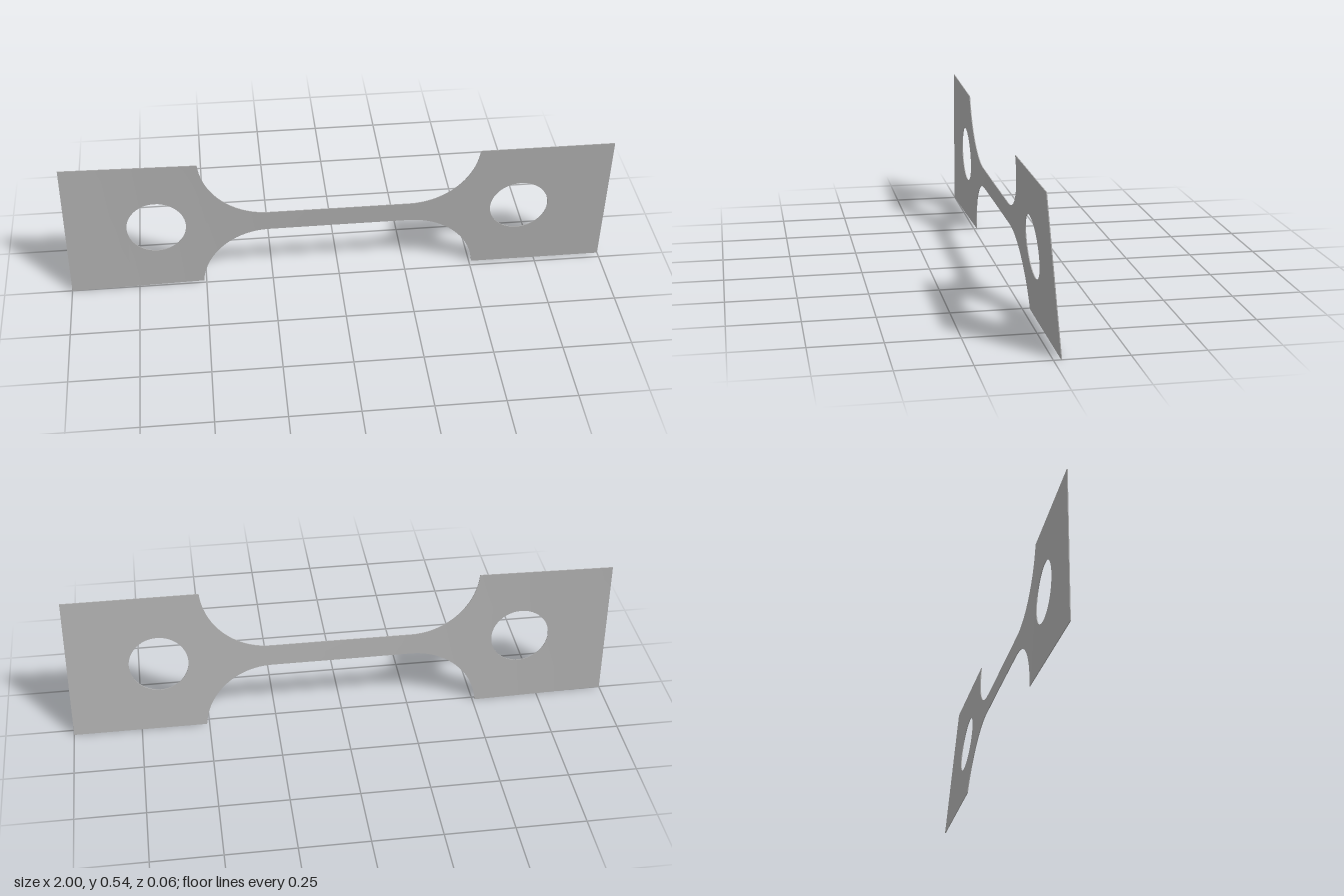
import * as THREE from 'three';
import { toCreasedNormals } from 'three/addons/utils/BufferGeometryUtils.js';

const MID = 0.271, NECK = 0.04, THICK = 0.003;
const FILLET_X = 0.26, FILLET_R = 0.25, HOLE_X = 0.67, HOLE_R = 0.108;
const SHOULDER = FILLET_X + Math.sqrt(FILLET_R ** 2 - (NECK + FILLET_R - MID) ** 2);

// Half height of the outline: narrow neck, round fillets, wide tabs
function halfHeight(x) {
  const a = Math.abs(x);
  if (a <= FILLET_X) return NECK;
  if (a >= SHOULDER - 1e-6) return MID;
  return NECK + FILLET_R - Math.sqrt(FILLET_R ** 2 - (a - FILLET_X) ** 2);
}

// Half height of the round hole in each tab
function holeHeight(x) {
  const d = Math.abs(x) - HOLE_X;
  return Math.sqrt(Math.max(0, HOLE_R ** 2 - d * d));
}

// Gentle twist along the length, from the flat end to the tilted end
const slope = (x) => 0.098 * THREE.MathUtils.clamp(x + 1, 0, 1);

// Stations along x, closer together on the curves
function stations() {
  const half = [0.13, 0.85, 1];
  const end = Math.asin((SHOULDER - FILLET_X) / FILLET_R);
  for (let i = 0; i <= 18; i++) half.push(FILLET_X + FILLET_R * Math.sin(end * i / 18));
  for (let i = 0; i <= 24; i++) half.push(HOLE_X - HOLE_R * Math.cos(Math.PI * i / 24));
  half.sort((a, b) => a - b);
  return [...half.map((x) => -x).reverse(), 0, ...half];
}

function plateGeometry() {
  const pos = [];
  const point = (x, v, side) => [x, MID + v, v * slope(x) + side * THICK / 2];
  const quad = (a, b, c, d) => pos.push(...a, ...b, ...c, ...a, ...c, ...d);

  // Edge wall between two stations, facing up or down
  const wall = (x0, v0, x1, v1, up) => {
    const q = [point(x0, v0, 1), point(x1, v1, 1), point(x1, v1, -1), point(x0, v0, -1)];
    quad(...(up ? q : q.reverse()));
  };

  // Front face, back face and rims of one band
  const band = (x0, lo0, hi0, x1, lo1, hi1) => {
    quad(point(x0, lo0, 1), point(x1, lo1, 1), point(x1, hi1, 1), point(x0, hi0, 1));
    quad(point(x0, hi0, -1), point(x1, hi1, -1), point(x1, lo1, -1), point(x0, lo0, -1));
  };

  const xs = stations();
  for (let i = 0; i < xs.length - 1; i++) {
    const x0 = xs[i], x1 = xs[i + 1];
    const t0 = halfHeight(x0), t1 = halfHeight(x1);
    const h0 = holeHeight(x0), h1 = holeHeight(x1);
    band(x0, h0, t0, x1, h1, t1);
    band(x0, -t0, -h0, x1, -t1, -h1);
    wall(x0, t0, x1, t1, true);
    wall(x0, -t0, x1, -t1, false);
    if (h0 + h1 > 1e-6) {
      wall(x0, -h0, x1, -h1, true);
      wall(x0, h0, x1, h1, false);
    }
  }

  // End walls
  quad(point(1, -MID, 1), point(1, -MID, -1), point(1, MID, -1), point(1, MID, 1));
  quad(point(-1, -MID, -1), point(-1, -MID, 1), point(-1, MID, 1), point(-1, MID, -1));

  const geometry = new THREE.BufferGeometry();
  geometry.setAttribute('position', new THREE.Float32BufferAttribute(pos, 3));
  return toCreasedNormals(geometry, 0.6);
}

export function createModel() {
  const group = new THREE.Group();
  group.name = 'tensileSpecimen';
  const steel = new THREE.MeshStandardMaterial({ color: 0xb0b0b0 });
  steel.name = 'steel grey';
  const plate = new THREE.Mesh(plateGeometry(), steel);
  plate.name = 'twistedPlate';
  group.add(plate);
  return group;
}
